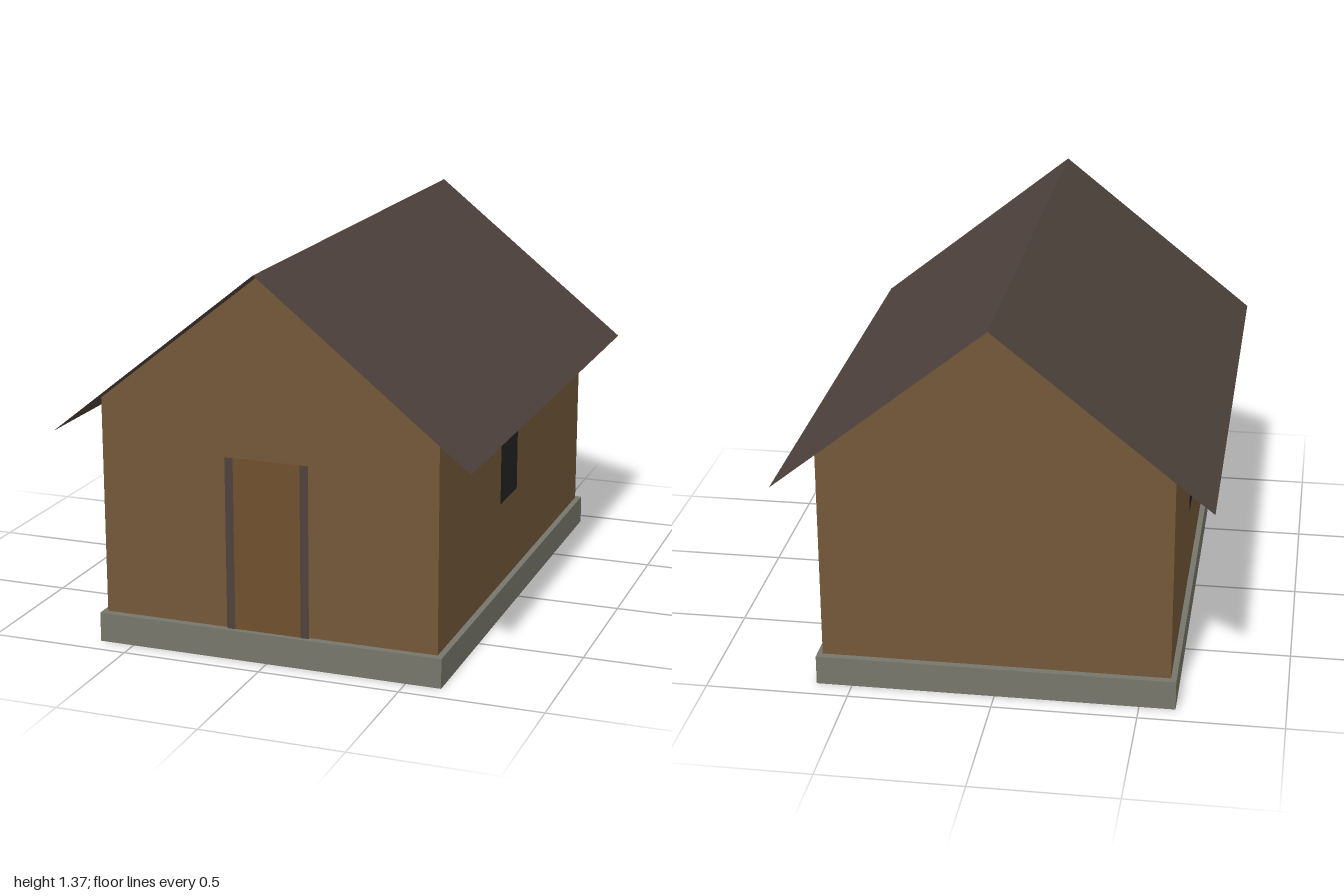
import * as THREE from 'three';

const mat = (name, color, side = THREE.FrontSide) => {
  const m = new THREE.MeshStandardMaterial({ color, side });
  m.name = name;
  return m;
};

export function createModel() {
  const group = new THREE.Group();
  const timber = mat('timber brown', 0x735839);
  const doorWood = mat('door brown', 0x70502f, THREE.DoubleSide);
  const roofing = mat('dark roofing', 0x4e423c, THREE.DoubleSide);
  const stone = mat('grey stone', 0x77766b, THREE.DoubleSide);
  const glass = mat('dark glass', 0x242424, THREE.DoubleSide);

  const add = (name, geometry, material, x = 0, y = 0, z = 0) => {
    const mesh = new THREE.Mesh(geometry, material);
    mesh.name = name;
    mesh.position.set(x, y, z);
    group.add(mesh);
    return mesh;
  };

  // Foundation: a slab skirt that is open underneath
  const baseHeight = 0.105;
  const base = new THREE.BoxGeometry(1.25, baseHeight, 1.855);
  const index = Array.from(base.index.array);
  index.splice(18, 6); // drop the bottom face
  base.setIndex(index);
  base.clearGroups();
  add('foundation', base, stone, 0, baseHeight / 2, 0);

  // Walls: gabled cross-section run along the length of the house
  const halfWidth = 0.605, halfLength = 0.905;
  const gable = new THREE.Shape([
    [-halfWidth, 0.107], [halfWidth, 0.107], [halfWidth, 0.88], [0, 1.36], [-halfWidth, 0.88],
  ].map(([x, y]) => new THREE.Vector2(x, y)));
  const walls = new THREE.ExtrudeGeometry(gable, { depth: halfLength * 2, bevelEnabled: false });
  add('walls', walls, timber, 0, 0, -halfLength);

  // Roof: two thin sheets meeting at the ridge
  const ridge = 1.365, eave = 0.774, reach = 0.74;
  const slope = Math.atan2(ridge - eave, reach);
  for (const side of [1, -1]) {
    const sheet = new THREE.PlaneGeometry(Math.hypot(reach, ridge - eave), 2);
    sheet.rotateX(-Math.PI / 2);
    sheet.rotateZ(-side * slope);
    add(side > 0 ? 'leftRoof' : 'rightRoof', sheet, roofing, side * reach / 2, (ridge + eave) / 2, 0);
  }

  // Door leaf, reaching down behind the foundation skirt, with dark edge strips
  const doorHeight = 0.68, doorY = 0.035 + doorHeight / 2;
  add('door', new THREE.PlaneGeometry(0.3, doorHeight), doorWood, 0, doorY, 0.908);
  for (const side of [1, -1]) {
    add('doorEdge', new THREE.PlaneGeometry(0.03, doorHeight), roofing, side * 0.135, doorY, 0.911);
  }

  // One window on each long wall
  for (const [side, z] of [[1, 0.095], [-1, -0.14]]) {
    const pane = new THREE.PlaneGeometry(0.21, 0.265);
    pane.rotateY(side * Math.PI / 2);
    add(side > 0 ? 'leftWindow' : 'rightWindow', pane, glass, side * 0.608, 0.548, z);
  }

  return group;
}
